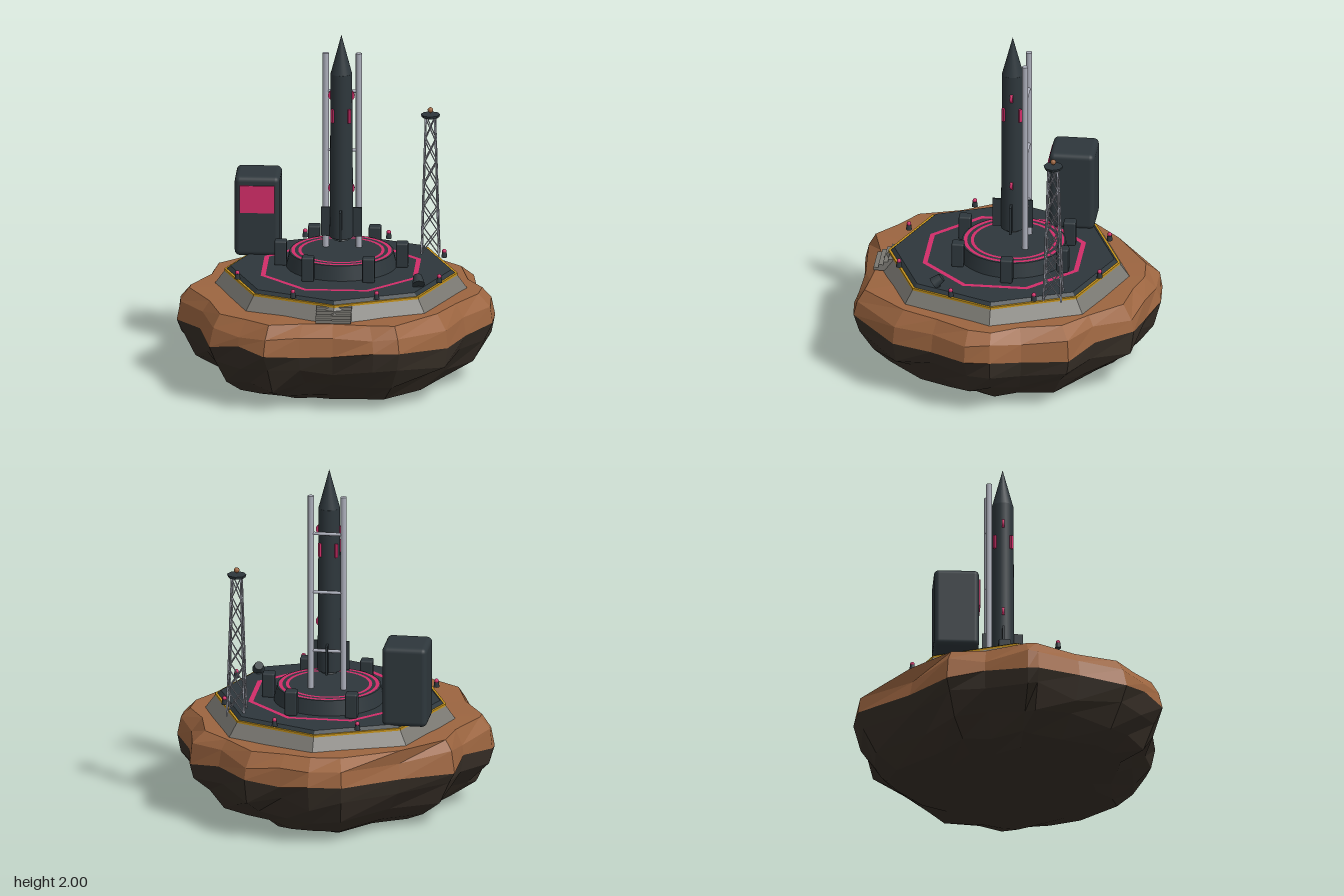
import * as THREE from 'three';
import { RoundedBoxGeometry } from 'three/addons/geometries/RoundedBoxGeometry.js';

const colour = (name, color) => {
  const m = new THREE.MeshStandardMaterial({ color });
  m.name = name;
  return m;
};

export function createModel() {
  const root = new THREE.Group();
  root.name = 'launchIsland';
  const soil = colour('soilBrown', 0x9c6540);
  const rock = colour('darkRock', 0x383028);
  const stone = colour('stoneGrey', 0x7a7872);
  const dark = colour('darkSlate', 0x2e373c);
  const pink = colour('pink', 0xd22d69);
  const yellow = colour('hazardYellow', 0xc4921c);
  const metal = colour('lightMetal', 0xadb0bc);

  const add = (name, geometry, material, x = 0, y = 0, z = 0, parent = root) => {
    const mesh = new THREE.Mesh(geometry, material);
    mesh.name = name;
    mesh.position.set(x, y, z);
    parent.add(mesh);
    return mesh;
  };
  const group = (name, x, y, z) => {
    const g = new THREE.Group();
    g.name = name;
    g.position.set(x, y, z);
    root.add(g);
    return g;
  };
  const facet = (g) => {
    const f = g.index ? g.toNonIndexed() : g;
    f.computeVertexNormals();
    return f;
  };
  const prism = (top, bottom, h, sides = 8) => facet(new THREE.CylinderGeometry(top, bottom, h, sides));
  const flatRing = (inner, outer, sides, start = 0) =>
    new THREE.RingGeometry(inner, outer, sides, 1, start).rotateX(-Math.PI / 2);
  const strut = (name, a, b, r, material, parent) => {
    const d = b.clone().sub(a);
    const m = add(name, new THREE.CylinderGeometry(r, r, d.length(), 6), material, 0, 0, 0, parent);
    m.position.copy(a).add(b).multiplyScalar(0.5);
    m.quaternion.setFromUnitVectors(new THREE.Vector3(0, 1, 0), d.normalize());
  };
  let seed = 11;
  const jitter = (amount) => {
    seed = (seed * 16807) % 2147483647;
    return (seed / 2147483647 * 2 - 1) * amount;
  };

  // Floating rock: one irregular outline, scaled ring by ring (x, z pairs)
  const outline = [
    [-0.17, -0.86], [0.02, -0.875], [0.19, -0.81], [0.4, -0.765], [0.575, -0.565], [0.76, -0.435],
    [0.8, -0.17], [0.895, 0], [0.89, 0.145], [0.75, 0.35], [0.66, 0.58], [0.4, 0.835], [0.255, 0.85],
    [0.02, 0.825], [-0.17, 0.84], [-0.37, 0.86], [-0.52, 0.75], [-0.69, 0.64], [-0.76, 0.37],
    [-0.905, 0.13], [-0.9, 0.07], [-0.77, -0.17], [-0.75, -0.385], [-0.47, -0.58],
  ];
  // height, scale, vertical jitter, scale jitter
  const layers = [
    [0, 0, 0, 0], [0, 0.58, 0, 0.04], [0.05, 0.74, 0.015, 0.03], [0.14, 0.86, 0.03, 0.03],
    [0.25, 0.96, 0.03, 0.02], [0.36, 1, 0.025, 0], [0.45, 0.98, 0.02, 0.015],
    [0.525, 0.91, 0.004, 0.02], [0.53, 0, 0, 0],
  ];
  const rings = layers.map(([y, s, dy, ds], k) => outline.map(([x, z]) => {
    let f = s + jitter(ds);
    if (k === 7) f = Math.max(f, 0.74 / Math.hypot(x, z));
    return [x * f, y + jitter(dy), z * f];
  }));
  const shell = (from, to) => {
    const p = [];
    for (let k = from; k < to; k++) {
      outline.forEach((_, i) => {
        const j = (i + 1) % outline.length;
        const a = rings[k][i], b = rings[k][j], c = rings[k + 1][i], d = rings[k + 1][j];
        if (layers[k][1]) p.push(...a, ...c, ...b);
        if (layers[k + 1][1] || !layers[k][1]) p.push(...b, ...c, ...d);
      });
    }
    const g = new THREE.BufferGeometry();
    g.setAttribute('position', new THREE.Float32BufferAttribute(p, 3));
    return facet(g);
  };
  add('rockBase', shell(0, 5), rock);
  add('soilTop', shell(5, 8), soil);

  // Octagonal platform
  const px = 0.02, pz = 0.02;
  add('stoneSkirt', prism(0.662, 0.72, 0.08), stone, px, 0.56, pz);
  add('hazardBand', prism(0.662, 0.662, 0.014), yellow, px, 0.606, pz);
  add('deck', prism(0.628, 0.652, 0.022), dark, px, 0.62, pz);
  add('deckOctagonLine', flatRing(0.452, 0.481, 8, Math.PI / 8), pink, px, 0.633, pz);

  // Front stairs
  for (let i = 0; i < 4; i++) {
    const depth = 0.125 - i * 0.028;
    add('stairStep', new THREE.BoxGeometry(0.2, 0.018, depth), stone, px, 0.538 + i * 0.018, 0.63 + depth / 2);
  }

  // Edge beacons
  for (let i = 0; i < 8; i++) {
    const a = Math.PI / 8 + i * Math.PI / 4;
    const b = group('beacon', px + 0.62 * Math.sin(a), 0.63, pz + 0.62 * Math.cos(a));
    add('beaconBase', new THREE.CylinderGeometry(0.013, 0.017, 0.03, 10), dark, 0, 0.014, 0, b);
    add('beaconBulb', new THREE.SphereGeometry(0.013, 10, 8), pink, 0, 0.035, 0, b);
  }

  // Launch dais with painted rings and clamp blocks
  const rx = 0.02, rz = -0.035;
  add('dais', new THREE.CylinderGeometry(0.295, 0.315, 0.09, 40), dark, rx, 0.671, rz);
  add('outerRing', flatRing(0.265, 0.285, 48), pink, rx, 0.718, rz);
  add('innerRing', flatRing(0.227, 0.245, 48), pink, rx, 0.718, rz);
  for (let i = 0; i < 6; i++) {
    const a = i * Math.PI / 3;
    add('clampBlock', new RoundedBoxGeometry(0.07, 0.145, 0.07, 2, 0.01), dark,
      rx + 0.345 * Math.cos(a), 0.7, rz + 0.345 * Math.sin(a));
  }

  // Rocket
  const rocket = group('rocket', rx, 0, -0.028);
  add('rocketBody', new THREE.CylinderGeometry(0.061, 0.067, 0.97, 24), dark, 0, 1.287, 0, rocket);
  add('noseCone', new THREE.ConeGeometry(0.061, 0.23, 24), dark, 0, 1.885, 0, rocket);
  add('nozzle', new THREE.CylinderGeometry(0.03, 0.045, 0.02, 16), dark, 0, 0.795, 0, rocket);
  for (let i = 0; i < 4; i++) {
    const a = i * Math.PI / 2;
    const fin = add('fin', new THREE.BoxGeometry(0.06, 0.17, 0.012), dark,
      0.086 * Math.cos(a), 0.89, 0.086 * Math.sin(a), rocket);
    fin.rotation.y = -a;
    const d = a + Math.PI / 4;
    const panel = add('pinkPanel', new THREE.BoxGeometry(0.016, 0.08, 0.016), pink,
      0.066 * Math.cos(d), 1.53, 0.066 * Math.sin(d), rocket);
    panel.rotation.y = -d;
  }
  for (const side of [-1, 1]) {
    for (const y of [1.09, 1.64]) {
      add('sideDisc', new THREE.CylinderGeometry(0.03, 0.03, 0.016, 16).rotateX(Math.PI / 2), pink,
        side * 0.046, y, 0, rocket);
    }
  }

  // Gantry: two columns joined by cross bars
  const gantry = group('gantry', rx, 0, -0.11);
  for (const side of [-1, 1]) {
    add('gantryColumn', new THREE.CylinderGeometry(0.0175, 0.0175, 1.15, 12), metal, side * 0.094, 1.29, 0, gantry);
  }
  for (const y of [0.94, 1.29, 1.64]) {
    add('gantryBar', new THREE.CylinderGeometry(0.01, 0.01, 0.19, 8).rotateZ(Math.PI / 2), metal, 0, y, 0, gantry);
  }

  // Control cabinet with screen
  add('cabinet', new RoundedBoxGeometry(0.257, 0.47, 0.257, 3, 0.03), dark, -0.469, 0.855, -0.32);
  add('cabinetScreen', new THREE.BoxGeometry(0.2, 0.16, 0.009), pink, -0.469, 0.96, -0.188);

  // Lattice mast
  const mast = group('latticeMast', 0.508, 0, -0.318);
  const corner = (k, y) => {
    const half = 0.05 - 0.024 * (y - 0.61) / 0.82;
    const a = Math.PI / 4 + k * Math.PI / 2, r = half * Math.SQRT2;
    return new THREE.Vector3(r * Math.cos(a), y, r * Math.sin(a));
  };
  const bays = 6;
  for (let k = 0; k < 4; k++) {
    strut('mastLeg', corner(k, 0.61), corner(k, 1.43), 0.0055, metal, mast);
    for (let i = 0; i < bays; i++) {
      const lo = 0.63 + i * 0.8 / bays, hi = lo + 0.8 / bays;
      strut('mastBrace', corner(k, lo), corner(k + 1, hi), 0.0035, metal, mast);
      strut('mastBrace', corner(k + 1, lo), corner(k, hi), 0.0035, metal, mast);
    }
  }
  add('mastCap', prism(0.055, 0.05, 0.016), dark, 0, 1.437, 0, mast);
  add('mastLamp', new THREE.SphereGeometry(0.016, 14, 10), soil, 0, 1.47, 0, mast);

  // Floodlight on the deck
  const flood = group('floodlight', 0.478, 0.662, 0.345);
  const head = add('floodlightHead', new THREE.CylinderGeometry(0.025, 0.036, 0.06, 14), dark, 0, 0.004, 0, flood);
  head.rotation.set(-0.9, 0, 0.15);
  add('floodlightFoot', new THREE.CylinderGeometry(0.012, 0.018, 0.03, 10), dark, 0, -0.02, 0, flood);

  return root;
}
